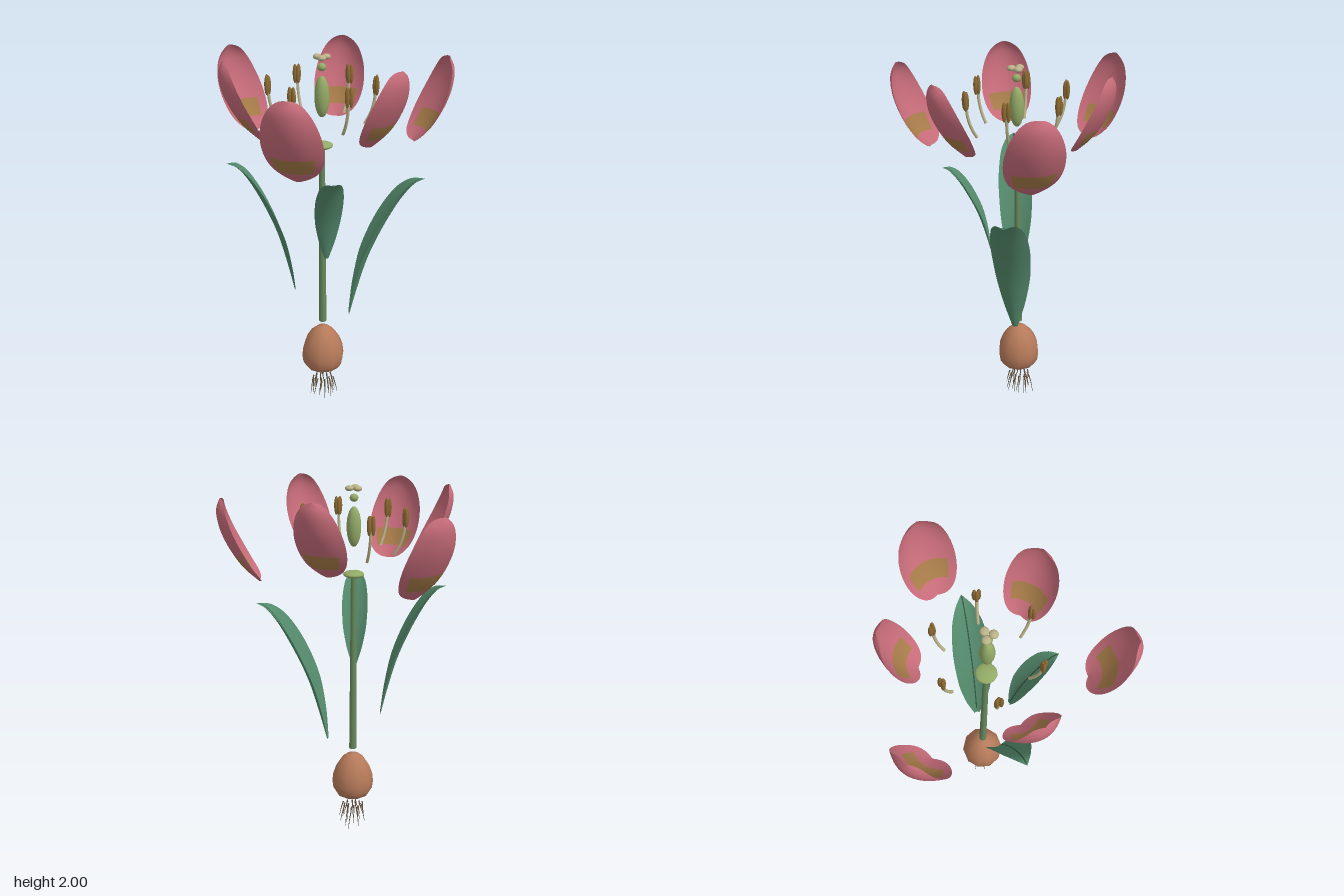
import * as THREE from 'three';

const mat = (name, color, side = THREE.FrontSide) => {
  const m = new THREE.MeshStandardMaterial({ color, side });
  m.name = name;
  return m;
};
const V2 = (p) => new THREE.Vector2(p[0], p[1]);
const V3 = (x, y, z) => new THREE.Vector3(x, y, z);
const spline = (pts) => new THREE.CatmullRomCurve3(pts.map(([x, y]) => V3(x, y, 0)));

// Grid surface from point(u, t), u in -1..1 and t in 0..1; cells passing isPatch get material 1
function surface(nu, nt, point, isPatch) {
  const pos = [], main = [], patch = [];
  for (let j = 0; j <= nt; j++)
    for (let i = 0; i <= nu; i++) pos.push(...point((2 * i) / nu - 1, j / nt));
  for (let j = 0; j < nt; j++)
    for (let i = 0; i < nu; i++) {
      const a = j * (nu + 1) + i, b = a + 1, c = a + nu + 1, d = c + 1;
      const inPatch = isPatch && isPatch((2 * i + 1) / nu - 1, (j + 0.5) / nt);
      (inPatch ? patch : main).push(a, b, d, a, d, c);
    }
  const g = new THREE.BufferGeometry();
  g.setAttribute('position', new THREE.Float32BufferAttribute(pos, 3));
  g.setIndex([...main, ...patch]);
  if (isPatch) {
    g.addGroup(0, main.length, 0);
    g.addGroup(main.length, patch.length, 1);
  }
  g.computeVertexNormals();
  return g;
}

export function createModel() {
  const D = THREE.DoubleSide;
  const petalPink = mat('petal pink', 0xc56b78, D);
  const petalOlive = mat('petal olive', 0xa57a48, D);
  const leafGreen = mat('leaf green', 0x548a6c, D);
  const ribGreen = mat('rib dark green', 0x2f5541, D);
  const stemGreen = mat('stem green', 0x66895c);
  const budGreen = mat('bud green', 0x93aa66);
  const bulbBrown = mat('bulb brown', 0xb67a5a);
  const rootBrown = mat('root brown', 0x6e5c48);
  const pale = mat('pale straw', 0xbab288);
  const antherBrown = mat('anther brown', 0x8c6a32);

  const plant = new THREE.Group();
  plant.name = 'flower';
  plant.position.set(-0.08, 0, 0.05);

  const add = (parent, name, geo, material, x = 0, y = 0, z = 0) => {
    const m = new THREE.Mesh(geo, material);
    m.name = name;
    m.position.set(x, y, z);
    parent.add(m);
    return m;
  };
  // Group whose local +x points outwards at an angle around the stem
  const spoke = (name, degrees) => {
    const g = new THREE.Group();
    g.name = name;
    g.rotation.y = -THREE.MathUtils.degToRad(degrees);
    plant.add(g);
    return g;
  };
  const ellipsoid = (rx, ry) => new THREE.SphereGeometry(1, 20, 14).scale(rx, ry, rx);

  // Petals: outer whorl low and wide, inner whorl higher and closer
  const petalLine = spline([[0.51, 1.5], [0.6, 1.59], [0.67, 1.7], [0.71, 1.8], [0.72, 1.89], [0.7, 1.945]]);
  const petalGeo = (scale, r0, y0) => surface(16, 26, (u, t) => {
    const p = petalLine.getPointAt(Math.min(1, (1 - Math.cos(Math.PI * t)) / 2));
    const w = Math.max(0.02, Math.sin(Math.PI * t));
    const cup = 0.07 * u * u * w;
    return [r0 + (p.x - 0.51 - cup) * scale, y0 + (p.y - 1.5) * scale, 0.15 * w * u * scale];
  }, (u, t) => t > 0.26 && t < 0.41 && Math.abs(u) < 0.7);
  const outerPetal = petalGeo(1, 0.51, 1.5);
  const innerPetal = petalGeo(0.92, 0.335, 1.585);
  for (let i = 0; i < 3; i++) {
    add(spoke('outerPetal', 11.5 + 120 * i), 'outerPetalBlade', outerPetal, [petalPink, petalOlive]);
    add(spoke('innerPetal', 71.5 + 120 * i), 'innerPetalBlade', innerPetal, [petalPink, petalOlive]);
  }

  // Leaves: normalised arching midline and half-width profile
  const leafLine = spline([[0, 0], [0.11, 0.215], [0.26, 0.46], [0.49, 0.71], [0.73, 0.906], [0.89, 0.985], [1, 1]]);
  const leafWidth = spline([[0, 0.14], [0.15, 0.6], [0.35, 0.92], [0.55, 1], [0.75, 0.82], [0.9, 0.45], [1, 0.02]]);
  const leaves = [
    { deg: 27, r0: 0.15, r1: 0.545, y0: 0.535, y1: 1.33, w: 0.104, cup: 0.045 },
    { deg: 197, r0: 0.157, r1: 0.5, y0: 0.705, y1: 1.455, w: 0.096, cup: 0.028 },
    { deg: 110, r0: 0.15, r1: 0.4, y0: 0.94, y1: 1.44, w: 0.073, cup: 0.025 },
  ];
  for (const L of leaves) {
    const g = spoke('leaf', L.deg);
    const mid = (t) => {
      const p = leafLine.getPoint(t);
      return [L.r0 + p.x * (L.r1 - L.r0), L.y0 + p.y * (L.y1 - L.y0)];
    };
    add(g, 'leafBlade', surface(12, 28, (u, t) => {
      const [r, y] = mid(t), w = leafWidth.getPoint(t).y;
      return [r - L.cup * w * u * u, y, L.w * w * u];
    }), leafGreen);
    // Thin midrib on the inner face
    add(g, 'leafRib', surface(1, 28, (u, t) => {
      const [r, y] = mid(0.04 + 0.92 * t);
      return [r - 0.002, y + 0.0015, 0.0035 * u];
    }), ribGreen);
  }

  // Stem and receptacle
  add(plant, 'stem', new THREE.CylinderGeometry(0.015, 0.021, 1.03, 14), stemGreen, 0, 1.005, 0);
  add(plant, 'receptacle', ellipsoid(0.057, 0.019), budGreen, 0, 1.521, 0);

  // Pistil
  add(plant, 'ovary', ellipsoid(0.039, 0.108), budGreen, 0, 1.78, 0);
  add(plant, 'style', ellipsoid(0.023, 0.021), budGreen, 0, 1.934, 0);
  for (let i = 0; i < 3; i++)
    add(spoke('stigma', 120 * i), 'stigmaLobe', ellipsoid(0.023, 0.015), pale, 0.026, 1.985, 0);

  // Stamens: curved filament with a two-lobed anther
  const filament = new THREE.TubeGeometry(new THREE.CatmullRomCurve3([
    V3(0.22, 1.64, 0), V3(0.247, 1.69, 0), V3(0.266, 1.75, 0), V3(0.275, 1.82, 0),
  ]), 12, 0.008, 8);
  const antherLobe = ellipsoid(0.012, 0.052);
  for (let i = 0; i < 6; i++) {
    const g = spoke('stamen', 30 + 60 * i);
    add(g, 'filament', filament, pale);
    for (const s of [-1, 1]) add(g, 'antherLobe', antherLobe, antherBrown, 0.28, 1.842, s * 0.011);
    add(g, 'antherBack', antherLobe, antherBrown, 0.27, 1.838, 0);
  }

  // Bulb
  const bulb = [[0, 0.188], [0.06, 0.19], [0.094, 0.205], [0.113, 0.235], [0.119, 0.28], [0.113, 0.33],
    [0.095, 0.38], [0.068, 0.422], [0.035, 0.45], [0, 0.46]];
  add(plant, 'bulb', new THREE.LatheGeometry(bulb.map(V2), 10), bulbBrown);

  // Roots: tapered, drooping strands
  let seed = 7;
  const rnd = () => (seed = (seed * 16807) % 2147483647) / 2147483647;
  for (let i = 0; i < 18; i++) {
    const g = spoke('root', i * 137.5);
    const r0 = 0.015 + 0.045 * Math.sqrt((i + 0.5) / 18), r1 = r0 + 0.01 + 0.025 * rnd();
    const end = i % 5 === 0 ? 0.002 : 0.01 + 0.045 * rnd();
    const sway = (rnd() - 0.5) * 0.03;
    const path = new THREE.CatmullRomCurve3([
      V3(r0, 0.132, 0), V3(r0 + (r1 - r0) * 0.45, 0.095, sway * 0.2),
      V3(r1 - 0.006, (0.095 + end) / 2, sway * 0.8), V3(r1, end, sway),
    ]);
    const geo = new THREE.TubeGeometry(path, 8, 0.0042, 5);
    const p = geo.attributes.position;
    for (let k = 0; k < p.count; k++) {
      const ring = Math.floor(k / 6) / 8, c = path.getPointAt(ring);
      const v = new THREE.Vector3().fromBufferAttribute(p, k).sub(c).multiplyScalar(1 - 0.75 * ring).add(c);
      p.setXYZ(k, v.x, v.y, v.z);
    }
    add(g, 'rootStrand', geo, rootBrown);
  }

  const model = new THREE.Group();
  model.name = 'explodedFlower';
  model.add(plant);
  return model;
}
